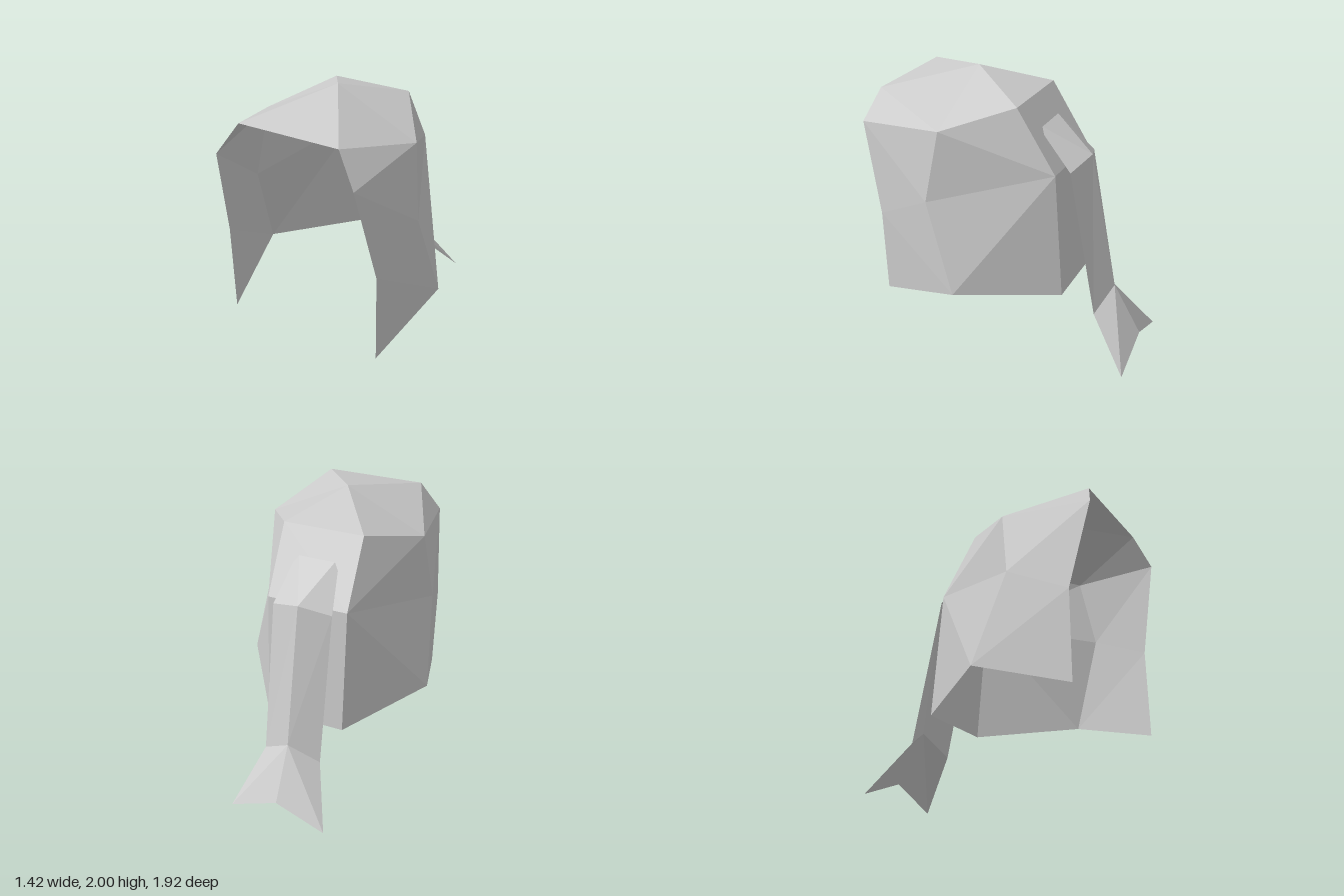
import * as THREE from 'three';

// Corner points of the +x half; a trailing "-" on a name mirrors it in x
const P = {
  apex: [0, 2, 0.32],
  browTop: [0.36, 1.86, 0.89],
  browSide: [0.5, 1.65, 0.96],
  cheek: [0.575, 1, 0.82],
  frontTip: [0.575, 0.365, 0.82],
  sideHem: [0.71, 0.575, 0.18],
  backHem: [0.285, 0.505, -0.46],
  nape: [0.285, 1.43, -0.39],
  backTop: [0.285, 1.86, -0.11],
  temple: [0.57, 1.72, 0.32],
  side: [0.64, 1.22, 0.4],
  root: [0.145, 1.715, -0.18],
  bendRidge: [0, 1.5, -0.535],
  bendEdge: [0.21, 1.435, -0.465],
  lowRidge: [0, 0.505, -0.752],
  lowEdge: [0.21, 0.36, -0.68],
  notch: [0, 0.15, -0.965],
  forkTip: [0.355, 0, -0.965],
};

const point = (name) => {
  if (!name.endsWith('-')) return P[name];
  const [x, y, z] = P[name.slice(0, -1)];
  return [-x, y, z];
};

const flip = (name) => (name.endsWith('-') ? name.slice(0, -1) : name + '-');

// Mirror faces across x, reversing corner order so they still face outward
const mirrored = (faces) => faces.map((f) => f.map(flip).reverse());

// Faceted sheet from triangles and quads
function sheet(name, faces, material) {
  const positions = [];
  for (const f of faces) {
    for (let i = 1; i < f.length - 1; i++) {
      positions.push(...point(f[0]), ...point(f[i]), ...point(f[i + 1]));
    }
  }
  const geometry = new THREE.BufferGeometry();
  geometry.setAttribute('position', new THREE.Float32BufferAttribute(positions, 3));
  geometry.computeVertexNormals();
  const mesh = new THREE.Mesh(geometry, material);
  mesh.name = name;
  return mesh;
}

export function createModel() {
  const hair = new THREE.MeshStandardMaterial({ color: 0xcccccc, side: THREE.DoubleSide, flatShading: true });
  hair.name = 'hair grey';

  // Top of the head
  const crownHalf = [
    ['apex', 'browTop', 'temple'],
    ['apex', 'temple', 'backTop'],
  ];
  const crown = [
    ...crownHalf,
    ...mirrored(crownHalf),
    ['apex', 'browTop-', 'browTop'],
    ['apex', 'backTop', 'backTop-'],
  ];

  // Hanging side locks
  const lock = [
    ['browTop', 'browSide', 'temple'],
    ['browSide', 'side', 'temple'],
    ['browSide', 'cheek', 'side'],
    ['cheek', 'sideHem', 'side'],
    ['cheek', 'frontTip', 'sideHem'],
    ['temple', 'nape', 'backTop'],
    ['temple', 'side', 'nape'],
    ['side', 'sideHem', 'nape'],
    ['sideHem', 'backHem', 'nape'],
  ];

  // Flat panel at the back
  const back = [
    ['backTop', 'nape', 'nape-', 'backTop-'],
    ['nape', 'backHem', 'backHem-', 'nape-'],
  ];

  // Ridged ponytail with a forked end
  const tailHalf = [
    ['root', 'bendEdge', 'bendRidge'],
    ['bendRidge', 'bendEdge', 'lowEdge', 'lowRidge'],
    ['lowRidge', 'lowEdge', 'forkTip'],
    ['lowRidge', 'forkTip', 'notch'],
  ];
  const tail = [['root-', 'root', 'bendRidge'], ...tailHalf, ...mirrored(tailHalf)];

  const group = new THREE.Group();
  group.name = 'hair';
  group.add(
    sheet('crown', crown, hair),
    sheet('leftLock', lock, hair),
    sheet('rightLock', mirrored(lock), hair),
    sheet('backPanel', back, hair),
    sheet('ponytail', tail, hair),
  );
  return group;
}
